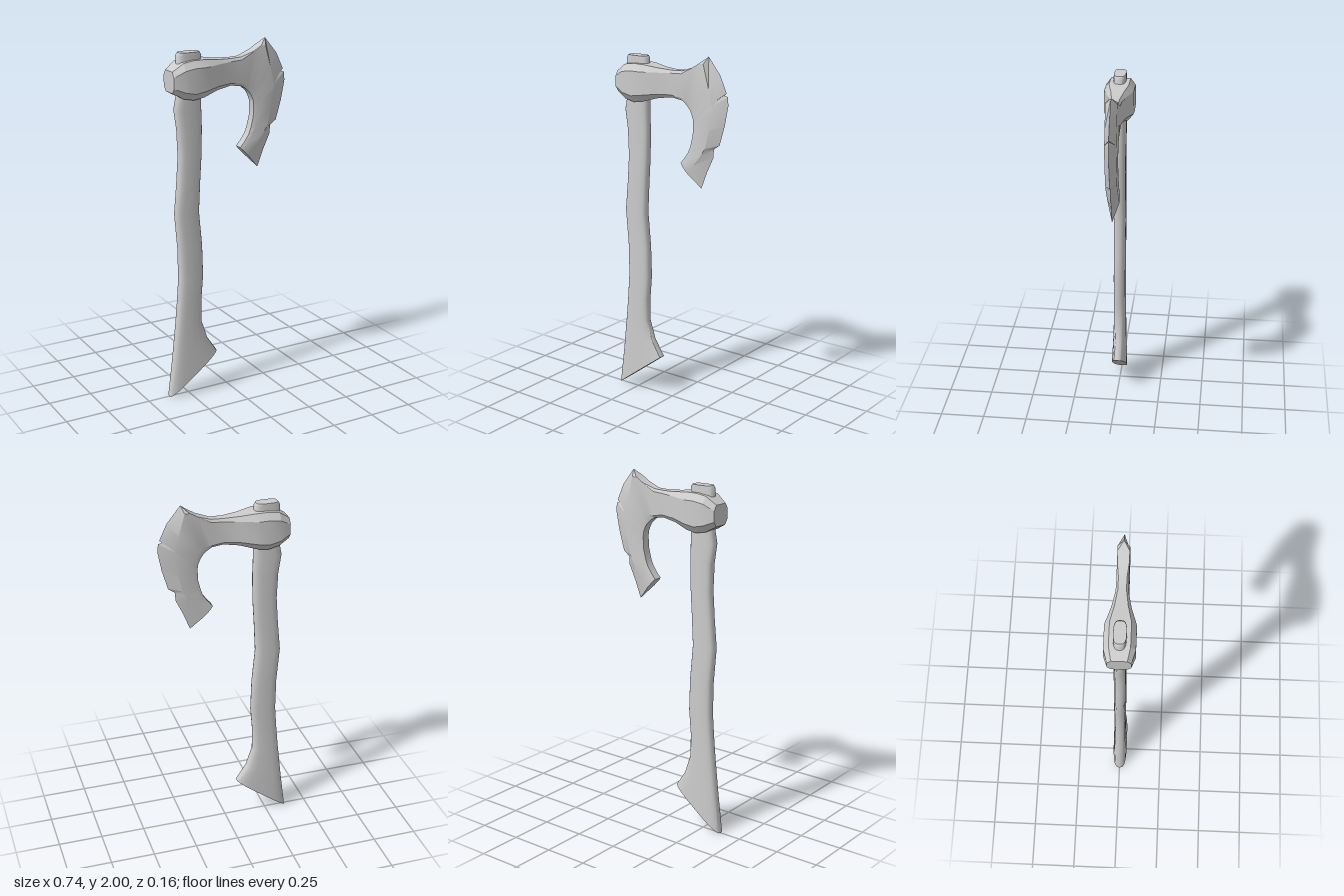
import * as THREE from 'three';
import { toCreasedNormals } from 'three/addons/utils/BufferGeometryUtils.js';

const material = new THREE.MeshStandardMaterial({ color: 0xcccccc });

// Skins a list of equal rings (counter-clockwise about the travel direction) and caps both ends.
function loft(rings, crease) {
  const pos = [];
  const tri = (a, b, c) => {
    if (new THREE.Triangle(a, b, c).getArea() > 1e-8) {
      for (const p of [a, b, c]) pos.push(p.x, p.y, p.z);
    }
  };
  const n = rings[0].length;
  for (let r = 0; r < rings.length - 1; r++) {
    for (let i = 0; i < n; i++) {
      const j = (i + 1) % n;
      const [a, b] = [rings[r], rings[r + 1]];
      tri(a[i], a[j], b[j]);
      tri(a[i], b[j], b[i]);
    }
  }
  for (const [ring, start] of [[rings[0], true], [rings[rings.length - 1], false]]) {
    const mid = ring.reduce((s, p) => s.add(p), new THREE.Vector3()).divideScalar(n);
    for (let i = 0; i < n; i++) {
      const j = (i + 1) % n;
      if (start) tri(mid, ring[j], ring[i]);
      else tri(mid, ring[i], ring[j]);
    }
  }
  const geo = new THREE.BufferGeometry();
  geo.setAttribute('position', new THREE.Float32BufferAttribute(pos, 3));
  return toCreasedNormals(geo, crease);
}

// Rounded-rectangle handle section; rise tilts its front edge upwards.
function handleRing([y, rear, front, rise = 0]) {
  const round = (v) => Math.sign(v) * Math.abs(v) ** 0.65;
  const width = front - rear;
  const depth = 0.027 + 0.046 * width;
  return Array.from({ length: 20 }, (_, i) => {
    const a = (i / 20) * Math.PI * 2;
    const t = (round(Math.sin(a)) + 1) / 2;
    return new THREE.Vector3(rear + width * t, y + rise * t, round(Math.cos(a)) * depth);
  });
}

// Eight-sided head section: a line from outer to inner rim, bevelled at two fractions of its length.
function headRing(outer, inner, bevelOut, bevelIn, zOut, zSide, zIn) {
  const stops = [[0, zOut], [bevelOut, zSide], [1 - bevelIn, zSide], [1, zIn]];
  const side = (sign) => stops.map(([t, z]) => {
    const p = outer.clone().lerp(inner, t);
    return new THREE.Vector3(p.x, p.y, z * sign);
  });
  return [...side(1), ...side(-1).reverse()];
}

// Poll, eye and neck: x, top, bottom, half depth
function neckRing([x, top, bottom, depth]) {
  const bevel = (0.47 * depth) / (top - bottom);
  return headRing(new THREE.Vector2(x, top), new THREE.Vector2(x, bottom),
    bevel, bevel, 0.67 * depth, depth, 0.65 * depth);
}

// Inner curve of the beard, from under the neck to the tip
const innerCurve = new THREE.SplineCurve([
  [0.13, 1.715], [0.155, 1.665], [0.155, 1.57], [0.125, 1.475], [0.075, 1.41],
].map(([x, y]) => new THREE.Vector2(x, y)));

// Blade: a point on the cutting edge and the fraction taken by its bevel
function bladeRing([x, y, bevel]) {
  const inner = innerCurve.getPoint((2 - y) / 0.72);
  return headRing(new THREE.Vector2(x, y), inner, bevel, 0.12, 0, 0.031, 0.024);
}

export function createModel() {
  const group = new THREE.Group();
  const add = (name, geometry) => {
    const mesh = new THREE.Mesh(geometry, material);
    mesh.name = name;
    group.add(mesh);
  };

  // Handle from slanted foot to top
  add('handle', loft([
    [0, -0.373, -0.07, 0.23],
    [0.22, -0.345, -0.13, 0.1],
    [0.43, -0.322, -0.167],
    [0.56, -0.31, -0.167],
    [0.7, -0.3, -0.155],
    [0.88, -0.303, -0.16],
    [1.08, -0.32, -0.178],
    [1.24, -0.305, -0.17],
    [1.4, -0.294, -0.16],
    [1.55, -0.3, -0.157],
    [1.66, -0.316, -0.16],
    [1.74, -0.3, -0.16],
    [1.95, -0.3, -0.16],
    [1.966, -0.29, -0.17],
  ].map(handleRing), 0.7));

  const neck = [
    [-0.345, 1.875, 1.76, 0.06],
    [-0.285, 1.917, 1.727, 0.08],
    [-0.225, 1.926, 1.714, 0.08],
    [-0.16, 1.926, 1.724, 0.08],
    [-0.07, 1.914, 1.75, 0.05],
    [0.015, 1.909, 1.762, 0.032],
    [0.08, 1.912, 1.753, 0.031],
  ].map(neckRing);

  // Flat-topped shoulder between neck and horn
  const shoulder = [[0.155, 1.938, 0.105, 1.738], [0.2, 1.965, 0.125, 1.72]].map(([x, y, u, v]) =>
    headRing(new THREE.Vector2(x, y), new THREE.Vector2(u, v), 0.01, 0.12, 0.03, 0.031, 0.023));

  // Cutting edge from horn to beard tip, with two small nicks
  const blade = [
    [0.24, 2, 0.13],
    [0.315, 1.908, 0.32],
    [0.356, 1.818, 0.38],
    [0.34, 1.806, 0.33],
    [0.363, 1.8, 0.39],
    [0.368, 1.755, 0.41],
    [0.347, 1.645, 0.42],
    [0.315, 1.535, 0.41],
    [0.278, 1.508, 0.3],
    [0.276, 1.462, 0.42],
    [0.235, 1.375, 0.53],
    [0.198, 1.28, 0.62],
  ].map(bladeRing);

  add('axeHead', loft([...neck, ...shoulder, ...blade], 0.4));

  return group;
}
